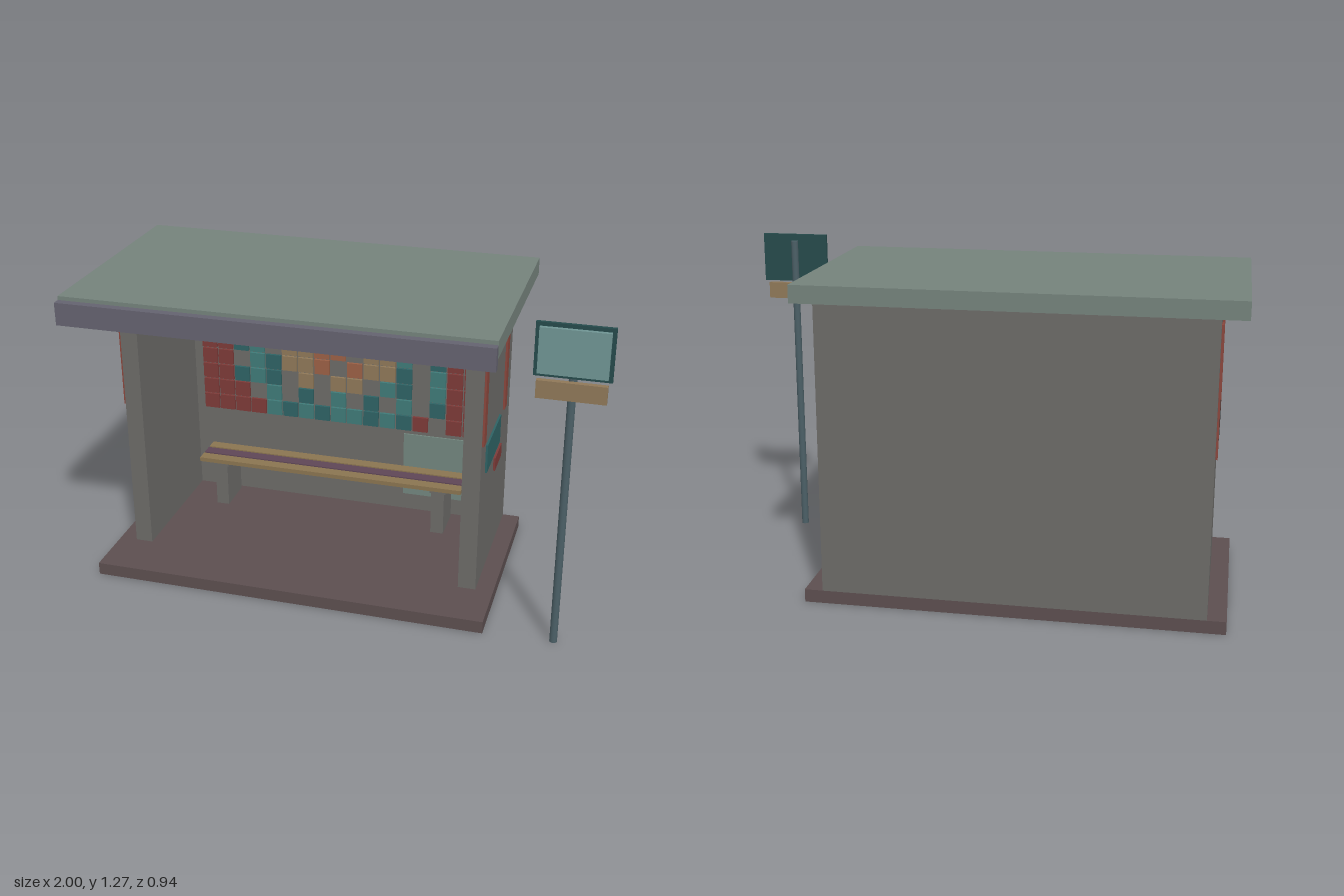
import * as THREE from 'three';

const COLORS = {
  concrete: 0x6b6a67, slab: 0x5c4e4f, roof: 0x74827b, fascia: 0x64626f,
  wood: 0x8a7450, plum: 0x5e4656, red: 0x7c3a38, rust: 0x8a463c,
  teal: 0x3f7a78, darkTeal: 0x2e6264, tan: 0x8f7858, orange: 0x9a5f45,
  pane: 0x71857d, black: 0x2c3030, pole: 0x4b5f66, frame: 0x254a4b, face: 0x6f9493,
};
const materials = {};
for (const key in COLORS) materials[key] = new THREE.MeshStandardMaterial({ color: COLORS[key] });

// Box given by its extents along each axis
function box(parent, name, color, [x0, x1], [y0, y1], [z0, z1]) {
  const mesh = new THREE.Mesh(new THREE.BoxGeometry(x1 - x0, y1 - y0, z1 - z0), materials[color]);
  mesh.position.set((x0 + x1) / 2, (y0 + y1) / 2, (z0 + z1) / 2);
  mesh.name = name;
  parent.add(mesh);
  return mesh;
}

function group(parent, name) {
  const g = new THREE.Group();
  g.name = name;
  parent.add(g);
  return g;
}

// Mosaic rows: r red, t teal, d dark teal, y tan, o orange, dot = missing tile
const MOSAIC = [
  'rrrrtdt.dttd.rrrr',
  'rr.dtdttddtddtrr.',
  '..tdt.yyy.y.d.t.r',
  '.rtd.yyy.oyy.d.rr',
  'rrdt.yyoo.yyt.drr',
  'rr.tdyyo.oyyd.trr',
  'rrdtd.y.yy.td.trr',
  'rrr.t.d.t.d.t.drr',
  'rrrrtdtdttdtdr.rr',
];
const TILE_COLORS = { r: 'red', t: 'teal', d: 'darkTeal', y: 'tan', o: 'orange' };

function buildShelter(root) {
  const shelter = group(root, 'shelter');
  box(shelter, 'floorSlab', 'slab', [-0.975, 0.6], [0, 0.05], [-0.472, 0.366]);
  box(shelter, 'backWall', 'concrete', [-0.835, 0.46], [0.05, 1.15], [-0.472, -0.415]);
  box(shelter, 'rightWall', 'concrete', [-0.905, -0.835], [0.05, 1.15], [-0.472, 0.15]);
  box(shelter, 'leftWall', 'concrete', [0.46, 0.53], [0.05, 1.15], [-0.472, 0.15]);
  box(shelter, 'roof', 'roof', [-1, 0.62], [1.15, 1.217], [-0.472, 0.437]);
  box(shelter, 'fascia', 'fascia', [-1, 0.62], [1.115, 1.202], [0.437, 0.468]);
  // pale panel on the back wall
  box(shelter, 'wallPanel', 'pane', [0.1, 0.385], [0.125, 0.41], [-0.416, -0.408]);
}

function buildMosaic(root) {
  const mosaic = group(root, 'mosaic');
  MOSAIC.forEach((row, j) => [...row].forEach((code, i) => {
    if (code === '.') return;
    const x = -0.762 + i * 0.0717, y = 1.032 - j * 0.0712, h = 0.0325;
    box(mosaic, 'tile', TILE_COLORS[code], [x - h, x + h], [y - h, y + h], [-0.416, -0.403]);
  }));
}

function buildBench(root) {
  const bench = group(root, 'bench');
  // three seat slats
  ['wood', 'plum', 'wood'].forEach((color, i) => {
    const z = -0.238 - i * 0.057;
    box(bench, 'seatSlat', color, [-0.765, 0.385], [0.245, 0.263], [z - 0.048, z]);
  });
  // legs with wider caps
  for (const x of [-0.668, 0.288]) {
    box(bench, 'leg', 'concrete', [x - 0.027, x + 0.027], [0.05, 0.236], [-0.398, -0.24]);
    box(bench, 'legCap', 'concrete', [x - 0.034, x + 0.034], [0.236, 0.245], [-0.4, -0.238]);
  }
}

function buildSidePanels(root) {
  const panels = group(root, 'sidePanels');
  // upright strips on both outer walls
  for (const [name, xs] of [['left', [0.528, 0.538]], ['right', [-0.913, -0.903]]]) {
    box(panels, name + 'FrontStrip', 'rust', xs, [0.67, 1.06], [0.098, 0.145]);
    box(panels, name + 'BackStrip', 'rust', xs, [0.62, 1.11], [-0.361, -0.313]);
  }
  box(panels, 'tealPanel', 'darkTeal', [0.528, 0.538], [0.517, 0.635], [-0.233, 0.055]);
  box(panels, 'redPanel', 'red', [0.528, 0.538], [0.43, 0.485], [-0.282, -0.138]);
  box(panels, 'darkPanel', 'black', [-0.913, -0.903], [0.632, 0.72], [-0.16, 0.088]);
}

function buildStopSign(root) {
  const sign = group(root, 'stopSign');
  const pole = new THREE.Mesh(new THREE.CylinderGeometry(0.0145, 0.0145, 1.245, 12), materials.pole);
  pole.position.set(0.865, 0.6225, 0.343);
  pole.name = 'pole';
  sign.add(pole);
  box(sign, 'signFrame', 'frame', [0.73, 1], [1.076, 1.272], [0.35, 0.363]);
  box(sign, 'signFace', 'face', [0.744, 0.986], [1.09, 1.258], [0.362, 0.378]);
  box(sign, 'namePlate', 'tan', [0.743, 0.987], [0.999, 1.065], [0.357, 0.377]);
}

export function createModel() {
  const root = new THREE.Group();
  root.name = 'busShelter';
  buildShelter(root);
  buildMosaic(root);
  buildBench(root);
  buildSidePanels(root);
  buildStopSign(root);
  return root;
}
